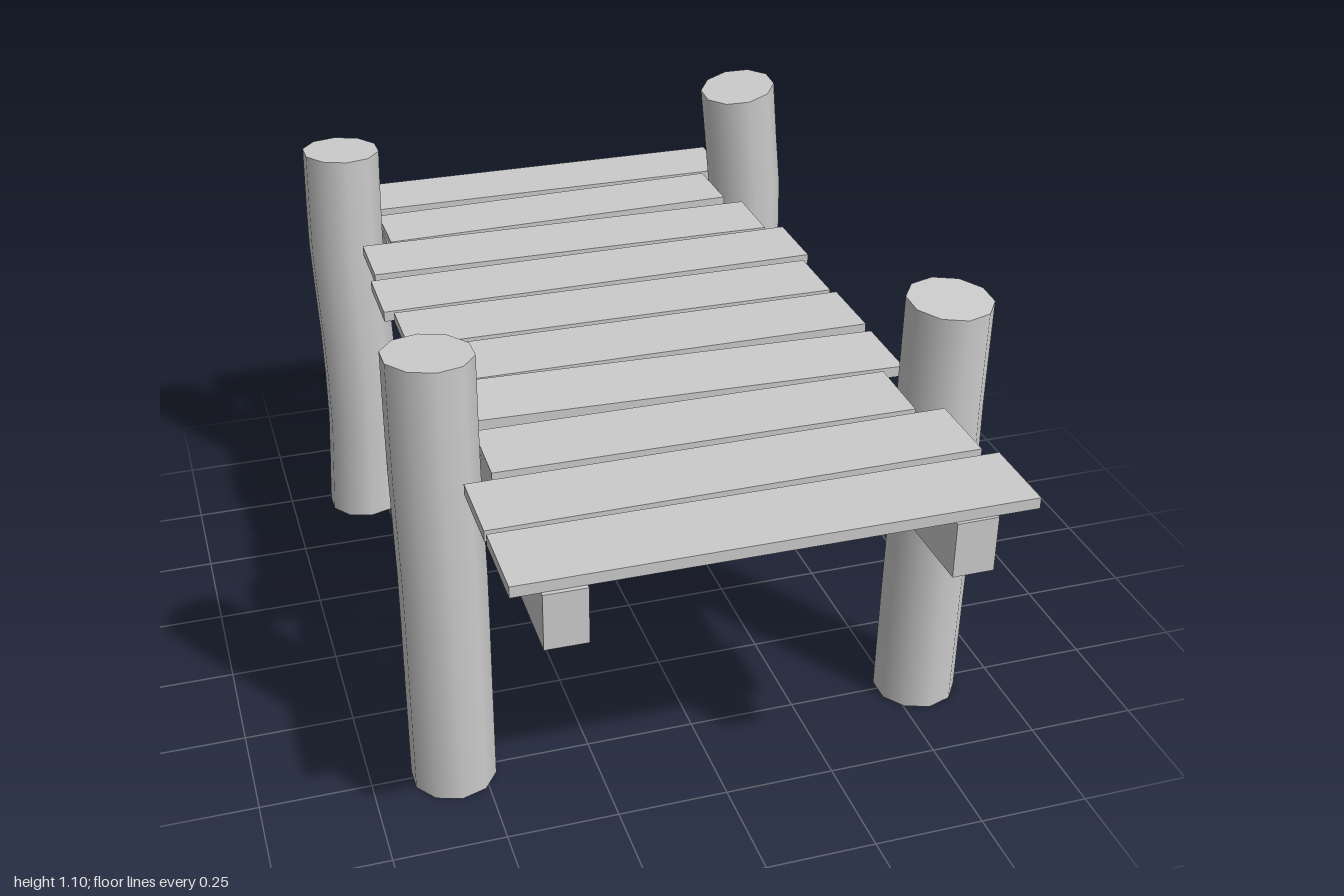
import * as THREE from 'three';

const material = new THREE.MeshStandardMaterial({ color: 0xcccccc });

// Round log that follows a bent centre line, with a slanted top cut
function makePost({ name, z, xs, top, slopeX, slopeZ }) {
  const radius = 0.096;
  const path = new THREE.SplineCurve(xs.map((x, i) => new THREE.Vector2(x, i / (xs.length - 1))));
  const geometry = new THREE.CylinderGeometry(radius, radius, 1, 10, 8);
  const pos = geometry.attributes.position;
  for (let i = 0; i < pos.count; i++) {
    const t = pos.getY(i) + 0.5;
    const x = pos.getX(i), dz = pos.getZ(i);
    const cut = t > 0.99 ? slopeX * x + slopeZ * dz : 0;
    pos.setXYZ(i, x + path.getPoint(t).x, t * top + cut, dz + z);
  }
  // Tilt the cap normals with the cut; the sides keep their smooth normals
  const normal = geometry.attributes.normal;
  const cap = new THREE.Vector3(-slopeX, 1, -slopeZ).normalize();
  for (let i = 0; i < normal.count; i++) {
    if (normal.getY(i) > 0.9) normal.setXYZ(i, cap.x, cap.y, cap.z);
  }
  const mesh = new THREE.Mesh(geometry, material);
  mesh.name = name;
  return mesh;
}

// Long bearer running front to back, given its x at each end
function makeBeam(name, xFront, xBack) {
  const mesh = new THREE.Mesh(new THREE.BoxGeometry(0.09, 0.125, 2), material);
  mesh.name = name;
  mesh.position.set((xFront + xBack) / 2, 0.7275, 0);
  mesh.rotation.y = Math.atan2(xFront - xBack, 2);
  return mesh;
}

export function createModel() {
  const group = new THREE.Group();
  group.name = 'dock';

  // Four corner posts; xs is the centre line from foot to top
  const posts = [
    { name: 'frontRightPost', z: 0.505, xs: [-0.565, -0.565, -0.565, -0.57, -0.57], top: 1.062, slopeX: -0.04, slopeZ: 0.04 },
    { name: 'frontLeftPost', z: 0.505, xs: [0.56, 0.562, 0.565, 0.562, 0.565], top: 1.022, slopeX: -0.03, slopeZ: -0.08 },
    { name: 'backRightPost', z: -0.71, xs: [-0.552, -0.538, -0.54, -0.55, -0.545], top: 1.03, slopeX: -0.03, slopeZ: 0.02 },
    { name: 'backLeftPost', z: -0.71, xs: [0.552, 0.547, 0.545, 0.542, 0.515], top: 1.088, slopeX: 0.15, slopeZ: -0.1 },
  ];
  posts.forEach((p) => group.add(makePost(p)));

  // Two bearers
  group.add(makeBeam('rightBeam', -0.425, -0.405));
  group.add(makeBeam('leftBeam', 0.413, 0.404));

  // Uneven deck planks: [x min, x max, z centre, depth, yaw, roll]
  const planks = [
    [-0.53, 0.52, -0.897, 0.175, 0.005, 0],
    [-0.45, 0.45, -0.697, 0.175, 0.01, 0.012],
    [-0.525, 0.49, -0.497, 0.178, -0.006, 0],
    [-0.54, 0.53, -0.298, 0.18, -0.006, 0.01],
    [-0.52, 0.51, -0.1, 0.178, -0.003, 0],
    [-0.53, 0.52, 0.094, 0.18, 0, 0],
    [-0.555, 0.525, 0.293, 0.183, -0.003, -0.018],
    [-0.465, 0.46, 0.5, 0.178, -0.017, 0.008],
    [-0.53, 0.52, 0.699, 0.18, -0.003, 0.006],
    [-0.53, 0.55, 0.899, 0.185, -0.003, 0],
  ];
  planks.forEach(([x0, x1, z, depth, yaw, roll], i) => {
    const plank = new THREE.Mesh(new THREE.BoxGeometry(x1 - x0, 0.025, depth), material);
    plank.name = `plank${i + 1}`;
    plank.position.set((x0 + x1) / 2, 0.802, z);
    plank.rotation.set(0, yaw, roll);
    group.add(plank);
  });

  return group;
}
